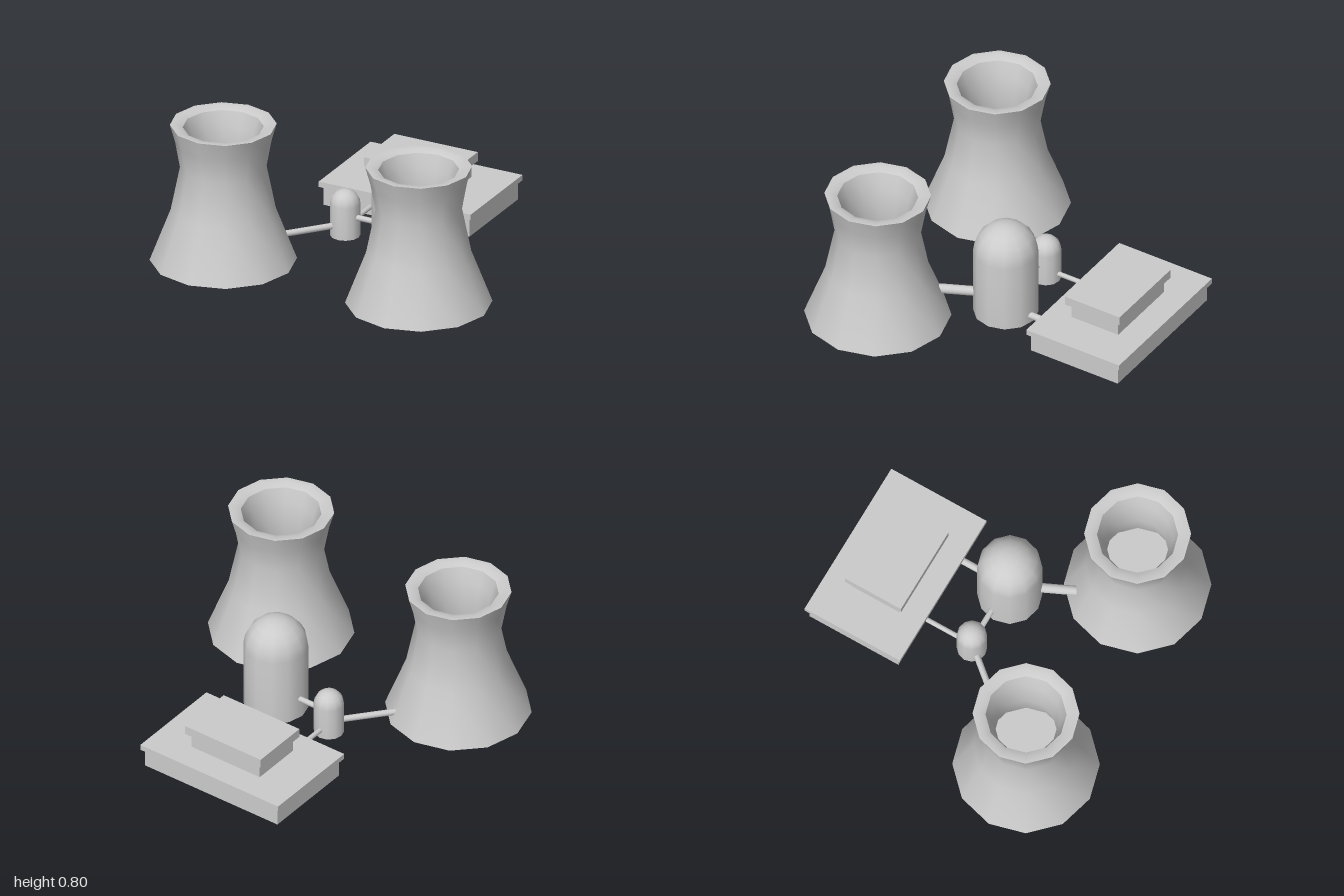
import * as THREE from 'three';
import { toCreasedNormals } from 'three/addons/utils/BufferGeometryUtils.js';

const material = new THREE.MeshStandardMaterial({ color: 0xcccccc });

export function createModel() {
  const model = new THREE.Group();
  model.name = 'powerPlant';

  const add = (name, geometry, x, y, z) => {
    const mesh = new THREE.Mesh(geometry, material);
    mesh.name = name;
    mesh.position.set(x, y, z);
    model.add(mesh);
    return mesh;
  };

  // Twelve-sided turned shape, smooth around and sharp at its rims
  const turned = (profile) =>
    toCreasedNormals(new THREE.LatheGeometry(profile.map(([r, y]) => new THREE.Vector2(r, y)), 12), 0.65);

  // Cooling towers: waisted outer wall, thick rim, hollow inside
  const wall = [[0.4, 0], [0.285, 0.3], [0.235, 0.55], [0.262, 0.7], [0.29, 0.8]];
  const inside = [[0.255, 0.8], [0.22, 0.785], [0.192, 0.7], [0.165, 0.55], [0.215, 0.3], [0.3, 0.07], [0, 0.07]];
  const tower = turned([[0, 0], ...wall, ...inside]);
  add('leftCoolingTower', tower, 0.6, 0, 0.53);
  add('rightCoolingTower', tower, -0.6, 0, 0.53);

  // Domed vessels
  const vessel = (radius, height) => {
    const profile = [[0, 0], [radius, 0]];
    for (let i = 0; i <= 5; i++) {
      const a = (i / 5) * Math.PI / 2;
      profile.push([radius * Math.cos(a), height - radius + radius * Math.sin(a)]);
    }
    return turned(profile);
  };
  add('reactor', vessel(0.178, 0.58), 0.206, 0, -0.042);
  add('smallTank', vessel(0.083, 0.27), -0.167, 0, -0.062);

  // Turbine hall: two storeys, each with an overhanging roof slab
  const block = (name, x0, x1, y0, y1, z0, z1) =>
    add(name, new THREE.BoxGeometry(x1 - x0, y1 - y0, z1 - z0), (x0 + x1) / 2, (y0 + y1) / 2, (z0 + z1) / 2);
  block('hallBase', -0.455, 0.44, 0, 0.11, -0.912, -0.355);
  block('hallRoof', -0.475, 0.458, 0.11, 0.142, -0.932, -0.335);
  block('upperHall', -0.235, 0.227, 0.142, 0.232, -0.778, -0.478);
  block('upperRoof', -0.26, 0.252, 0.232, 0.285, -0.803, -0.453);

  // Connecting pipes
  const pipe = (name, radius, y, [x0, z0], [x1, z1]) => {
    const a = new THREE.Vector3(x0, y, z0);
    const b = new THREE.Vector3(x1, y, z1);
    const mid = a.clone().add(b).multiplyScalar(0.5);
    const mesh = add(name, new THREE.CylinderGeometry(radius, radius, a.distanceTo(b), 12), mid.x, mid.y, mid.z);
    mesh.quaternion.setFromUnitVectors(new THREE.Vector3(0, 1, 0), b.sub(a).normalize());
  };
  pipe('tankToHallPipe', 0.014, 0.05, [-0.167, -0.08], [-0.167, -0.37]);
  pipe('reactorToHallPipe', 0.02, 0.045, [0.225, -0.15], [0.225, -0.37]);
  pipe('tankToReactorPipe', 0.016, 0.12, [-0.15, -0.055], [0.1, -0.055]);
  pipe('tankToTowerPipe', 0.018, 0.065, [-0.18, -0.045], [-0.42, 0.24]);
  pipe('reactorToTowerPipe', 0.027, 0.115, [0.25, 0.04], [0.365, 0.285]);

  return model;
}
